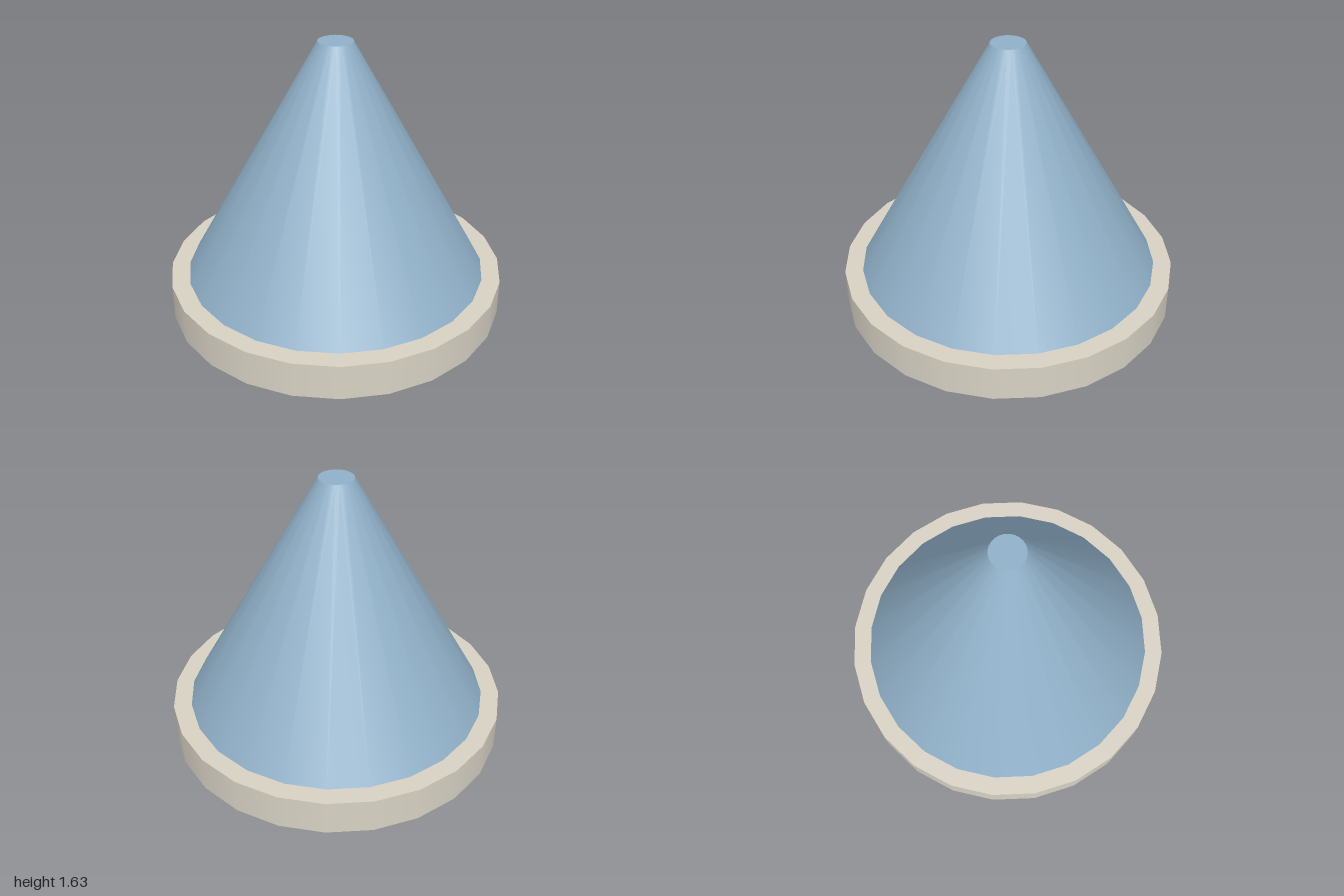
import * as THREE from 'three';

const SIDES = 24;
const BASE_HEIGHT = 0.215;
const TOTAL_HEIGHT = 1.63;
const UNDER_RADIUS = 0.9;

export function createModel() {
  const group = new THREE.Group();
  const add = (name, geometry, color) => {
    const mesh = new THREE.Mesh(geometry, new THREE.MeshStandardMaterial({ color }));
    mesh.name = name;
    group.add(mesh);
    return mesh;
  };

  // Round plinth: smooth side wall with flat caps
  const base = new THREE.CylinderGeometry(1, 1, BASE_HEIGHT, SIDES);
  base.translate(0, BASE_HEIGHT / 2, 0);
  add('base', base, 0xd8d2c4);

  // Truncated cone standing on the plinth
  const coneHeight = TOTAL_HEIGHT - BASE_HEIGHT;
  const cone = new THREE.CylinderGeometry(0.1, 0.893, coneHeight, SIDES);
  cone.translate(0, BASE_HEIGHT + coneHeight / 2, 0);
  add('cone', cone, 0x90b0c8);

  // Grey disc set into the underside, just proud of the plinth
  const disc = new THREE.CircleGeometry(UNDER_RADIUS, SIDES);
  disc.rotateX(Math.PI / 2);
  disc.translate(0, -0.001, 0);
  add('undersideDisc', disc, 0xb4b4b4);

  return group;
}
